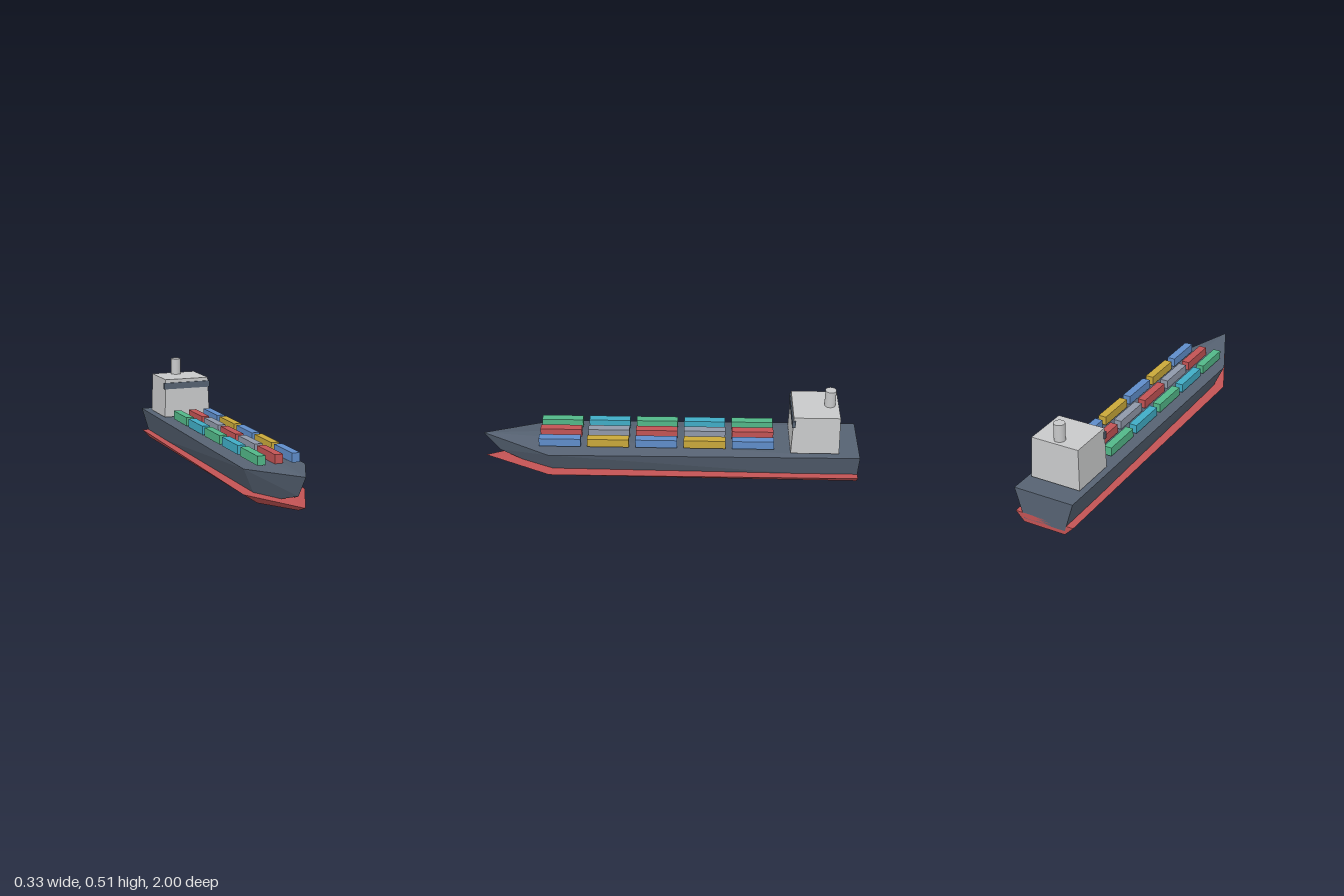
import * as THREE from 'three';

const mat = (name, color) => {
  const m = new THREE.MeshStandardMaterial({ color });
  m.name = name;
  return m;
};

// Faceted hull shell: flat transom, straight sides and a pointed, undercut bow.
function hullGeometry(y) {
  const tipTop = [0, y.tipTop, 1], tipBottom = [0, y.tipBottom, 0.92];
  const corners = (s) => ({
    shoulderTop: [s * 0.163, y.shoulderTop, 0.64],
    shoulderBottom: [s * 0.083, y.shoulderBottom, 0.62],
    sternTop: [s * 0.163, y.sternTop, -1],
    sternBottom: [s * 0.115, y.sternBottom, -1],
  });
  const positions = [];
  const tri = (a, b, c) => positions.push(...a, ...b, ...c);
  const L = corners(1), R = corners(-1);
  for (const [c, flip] of [[L, false], [R, true]]) {
    const face = (p, q, r) => (flip ? tri(r, q, p) : tri(p, q, r));
    face(tipTop, c.shoulderTop, c.sternTop); // deck edge
    face(tipTop, tipBottom, c.shoulderTop); // bow
    face(tipBottom, c.shoulderBottom, c.shoulderTop);
    face(c.shoulderTop, c.shoulderBottom, c.sternBottom); // side
    face(c.shoulderTop, c.sternBottom, c.sternTop);
    face(tipBottom, c.sternBottom, c.shoulderBottom); // bottom edge
  }
  tri(L.sternTop, R.sternTop, tipTop); // deck middle
  tri(R.sternBottom, L.sternBottom, tipBottom); // bottom middle
  tri(L.sternTop, L.sternBottom, R.sternBottom); // transom
  tri(L.sternTop, R.sternBottom, R.sternTop);
  const g = new THREE.BufferGeometry();
  g.setAttribute('position', new THREE.Float32BufferAttribute(positions, 3));
  g.computeVertexNormals();
  return g;
}

export function createModel() {
  const ship = new THREE.Group();
  ship.name = 'containerShip';

  const slate = mat('slate', 0x566272);
  const red = mat('red', 0xc25354);
  const white = mat('paleGrey', 0xc8c9ca);
  const green = mat('green', 0x52b788);
  const blue = mat('blue', 0x5f8dca);
  const yellow = mat('yellow', 0xc9a83a);
  const cyan = mat('cyan', 0x40adc6);
  const grey = mat('grey', 0x9099aa);

  const add = (name, geometry, material, x = 0, y = 0, z = 0, parent = ship) => {
    const m = new THREE.Mesh(geometry, material);
    m.name = name;
    m.position.set(x, y, z);
    parent.add(m);
    return m;
  };

  // Upper hull, and the wider flared keel that it sinks into
  add('hull', hullGeometry({
    tipTop: 0.21, tipBottom: 0.1, shoulderTop: 0.183,
    shoulderBottom: 0.005, sternTop: 0.192, sternBottom: 0.03,
  }), slate);
  add('keel', hullGeometry({
    tipTop: 0.063, tipBottom: 0.033, shoulderTop: 0.055,
    shoulderBottom: 0.001, sternTop: 0.06, sternBottom: 0.01,
  }), red);

  // Cargo: three columns of five, alternating colours from bow to stern
  const cargo = new THREE.Group();
  cargo.name = 'cargo';
  ship.add(cargo);
  const box = new THREE.BoxGeometry(0.043, 0.047, 0.22);
  const columns = [[-0.091, [green, cyan]], [0, [red, grey]], [0.091, [blue, yellow]]];
  for (const [x, colours] of columns) {
    for (let i = 0; i < 5; i++) {
      add('container', box, colours[i % 2], x, 0.2295, 0.58 - i * 0.255, cargo);
    }
  }

  // Bridge tower, tapering slightly to the roof
  const tower = new THREE.BoxGeometry(0.272, 0.218, 0.254);
  const p = tower.attributes.position;
  for (let i = 0; i < p.count; i++) {
    if (p.getY(i) > 0) p.setXYZ(i, p.getX(i) * 0.95, p.getY(i), p.getZ(i) * 0.95);
  }
  tower.computeVertexNormals();
  add('bridge', tower, white, 0, 0.31, -0.764);
  add('bridgeWindow', new THREE.BoxGeometry(0.276, 0.036, 0.018), slate, 0, 0.382, -0.645);

  // Funnel
  const pipe = new THREE.CylinderGeometry(0.029, 0.029, 0.1, 16);
  add('funnel', pipe, white, 0, 0.46, -0.838);

  return ship;
}
